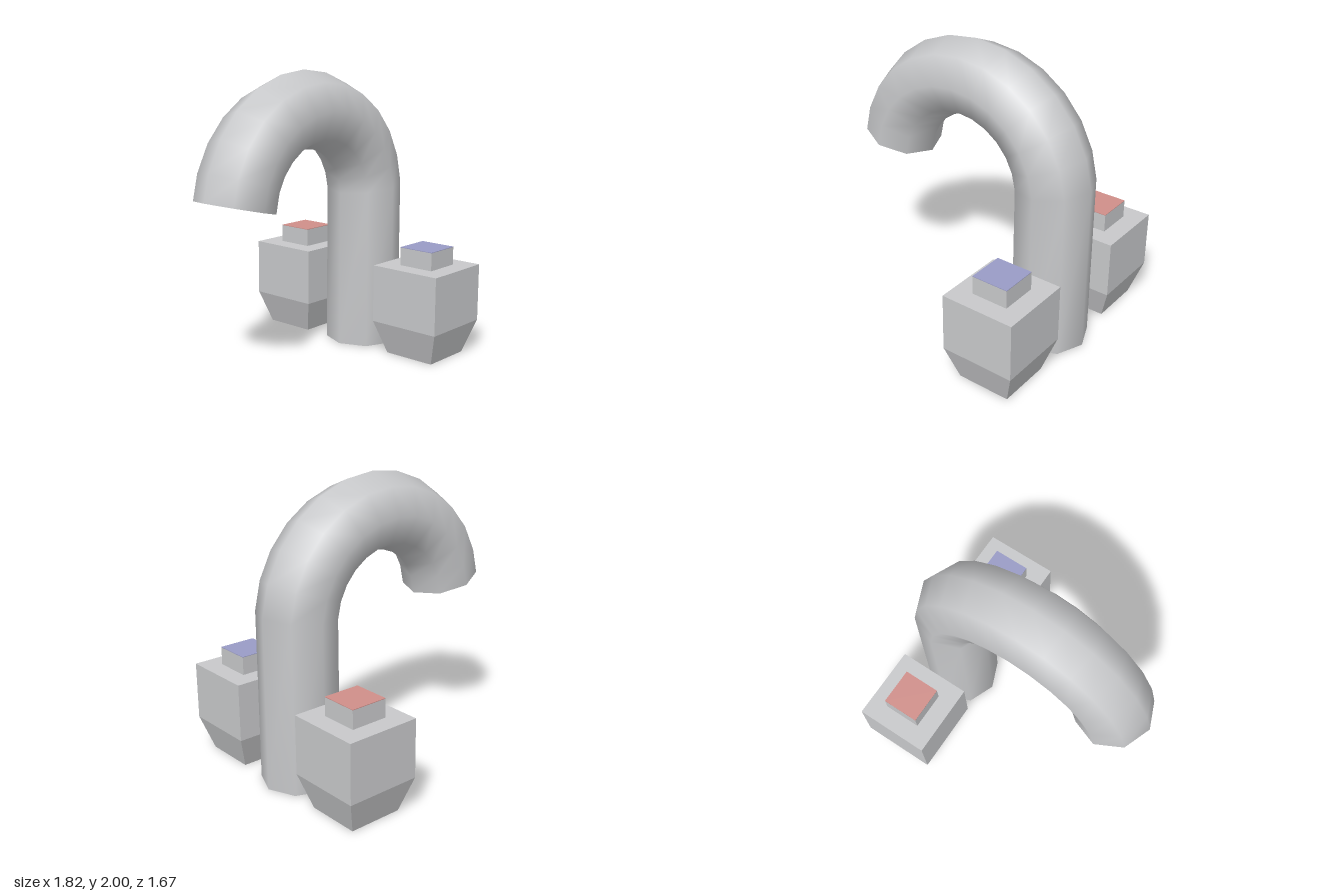
import * as THREE from 'three';

const SIDES = 8;
const RADIUS = 0.267;

// Eight-sided ring of points: centre (x, y), tilted by angle t about z
function ring(x, y, t) {
  const pts = [];
  for (let j = 0; j < SIDES; j++) {
    const a = (j / SIDES) * Math.PI * 2;
    const r = RADIUS * Math.cos(a);
    pts.push([x + r * Math.cos(t), y + r * Math.sin(t), RADIUS * Math.sin(a)]);
  }
  return pts;
}

function indexedGeometry(points, index) {
  const geo = new THREE.BufferGeometry();
  geo.setAttribute('position', new THREE.Float32BufferAttribute(points.flat(), 3));
  geo.setIndex(index);
  geo.computeVertexNormals();
  return geo;
}

// Smooth skin through the rings
function skin(rings) {
  const index = [];
  for (let i = 0; i < rings.length - 1; i++) {
    for (let j = 0; j < SIDES; j++) {
      const k = (j + 1) % SIDES;
      const a = i * SIDES + j, b = i * SIDES + k;
      const c = a + SIDES, d = b + SIDES;
      index.push(a, c, b, b, c, d);
    }
  }
  return indexedGeometry(rings.flat(), index);
}

// Flat lid over one ring
function lid(points, reversed) {
  const index = [];
  for (let j = 1; j < SIDES - 1; j++) {
    if (reversed) index.push(0, j + 1, j);
    else index.push(0, j, j + 1);
  }
  return indexedGeometry(points, index);
}

// Square block from a profile of [half width, y], with flat faces
function squareBlock(profile) {
  const pts = profile.map(([w, y]) => new THREE.Vector2(w * Math.SQRT2, y));
  const geo = new THREE.LatheGeometry(pts, 4, Math.PI / 4).toNonIndexed();
  geo.computeVertexNormals();
  return geo;
}

export function createModel() {
  const model = new THREE.Group();
  model.name = 'tap';
  const material = (name, color) => {
    const m = new THREE.MeshStandardMaterial({ color, side: THREE.DoubleSide });
    m.name = name;
    return m;
  };
  const grey = material('greyMetal', 0xc8c9cb);
  const red = material('hotRed', 0xd08f8a);
  const blue = material('coldBlue', 0x9a9cc6);

  const add = (parent, name, geo, mat) => {
    const mesh = new THREE.Mesh(geo, mat);
    mesh.name = name;
    parent.add(mesh);
    return mesh;
  };

  // Spout: straight column, then an arch of twelve segments
  const rings = [ring(0.648, 0, 0)];
  const rad = THREE.MathUtils.degToRad;
  for (let i = 0; i <= 12; i++) {
    const t = rad(5.7 + i * 14.05);
    const tilt = i === 0 ? rad(7.5) : i === 12 ? rad(166.4) : t;
    rings.push(ring(0.65 * Math.cos(t), 1.088 + 0.645 * Math.sin(t), tilt));
  }
  const spout = new THREE.Group();
  spout.name = 'spout';
  model.add(spout);
  add(spout, 'spoutPipe', skin(rings), grey);
  add(spout, 'spoutBase', lid(rings[0], false), grey);
  add(spout, 'spoutMouth', lid(rings[rings.length - 1], true), grey);

  // Handles: tapered block open below, with a knob and a coloured top plate
  for (const [name, z, colour] of [['coldHandle', 0.572, blue], ['hotHandle', -0.572, red]]) {
    const handle = new THREE.Group();
    handle.name = name;
    handle.position.set(0.648, 0, z);
    model.add(handle);
    add(handle, 'handleBody', squareBlock([[0.188, 0], [0.263, 0.235], [0.263, 0.64], [0, 0.64]]), grey);
    add(handle, 'handleKnob', squareBlock([[0.131, 0.64], [0.131, 0.766]]), grey);
    add(handle, 'knobPlate', new THREE.BoxGeometry(0.262, 0.004, 0.262), colour).position.y = 0.768;
  }
  return model;
}
